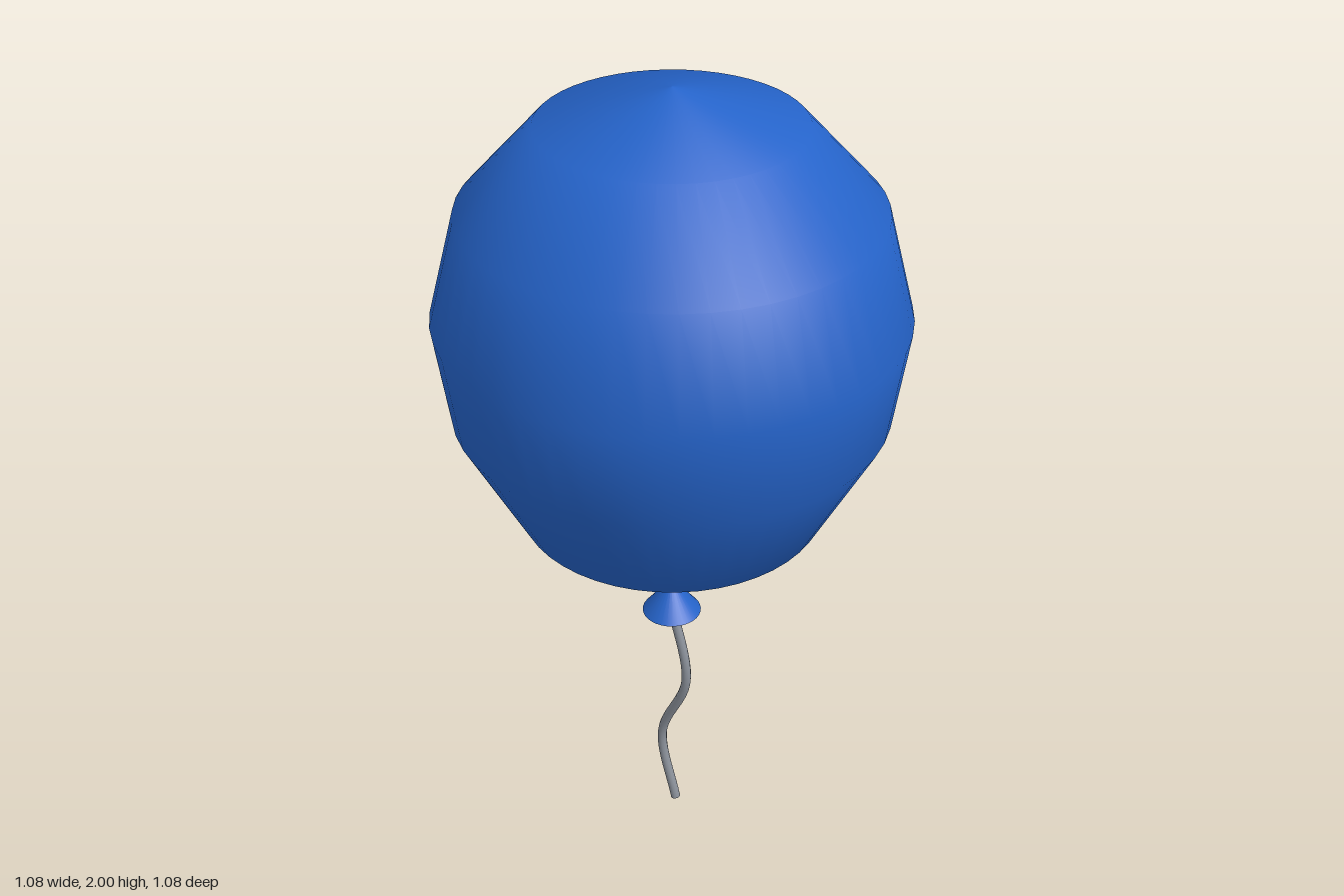
import * as THREE from 'three';

export function createModel() {
  const group = new THREE.Group();
  const blue = new THREE.MeshStandardMaterial({ color: 0x2563c9 });
  blue.name = 'balloon blue';
  const grey = new THREE.MeshStandardMaterial({ color: 0x8a9099 });
  grey.name = 'string grey';

  const add = (name, geometry, material) => {
    const mesh = new THREE.Mesh(geometry, material);
    mesh.name = name;
    group.add(mesh);
    return mesh;
  };

  // Balloon body: coarse profile, smoothly shaded, turned bottom to top
  const profile = [
    [0, 0.728], [0.13, 0.78], [0.36, 0.957], [0.505, 1.235],
    [0.538, 1.475], [0.472, 1.725], [0.295, 1.918], [0, 2],
  ].map(([x, y]) => new THREE.Vector2(x, y));
  add('balloon', new THREE.LatheGeometry(profile, 48), blue);

  // Tied neck under the balloon
  add('knot', new THREE.ConeGeometry(0.072, 0.094, 32), blue).position.y = 0.677;

  // Wavy string, bending only from side to side
  const path = new THREE.CatmullRomCurve3([
    [0, 0.64], [0.05, 0.43], [-0.034, 0.2], [0.014, 0.004],
  ].map(([x, y]) => new THREE.Vector3(x, y, 0)));
  add('string', new THREE.TubeGeometry(path, 32, 0.012, 10), grey);

  // Cap on the free end of the string
  const cap = add('stringEnd', new THREE.CircleGeometry(0.012, 10), grey);
  cap.position.copy(path.getPoint(1));
  cap.quaternion.setFromUnitVectors(new THREE.Vector3(0, 0, 1), path.getTangent(1));

  return group;
}
